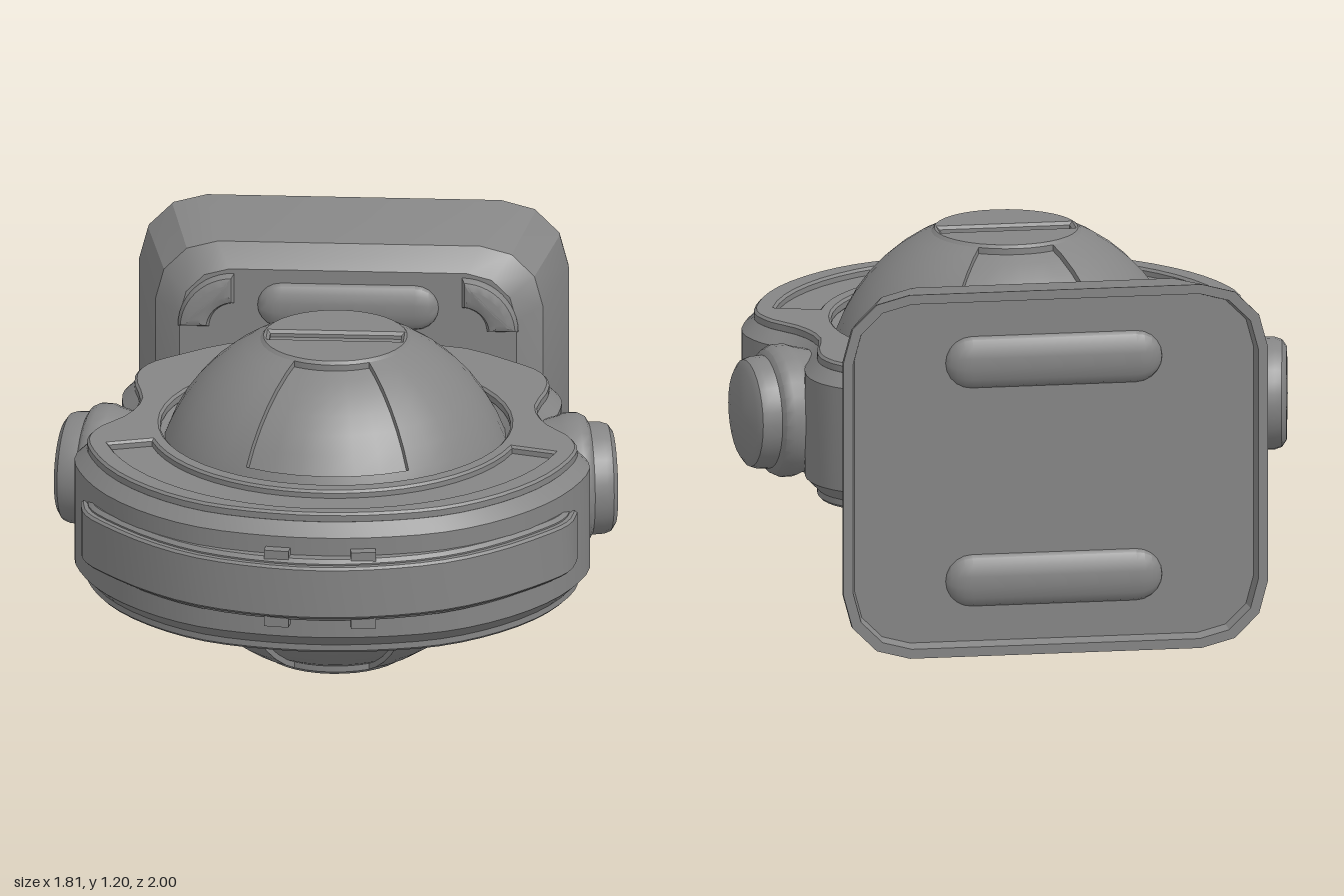
import * as THREE from 'three';
import { toCreasedNormals } from 'three/addons/utils/BufferGeometryUtils.js';

const MID = 0.6;      // height of the symmetry plane
const BALL_Z = 0.07;  // depth of the ball's centre
const material = new THREE.MeshStandardMaterial({ color: 0x858585 });
const V2 = (x, y) => new THREE.Vector2(x, y);

function add(parent, name, geometry, crease = 0.45) {
  const mesh = new THREE.Mesh(toCreasedNormals(geometry, crease), material);
  mesh.name = name;
  parent.add(mesh);
  return mesh;
}

// Skin over equally long rings of [x, y, z] points
function loft(rings) {
  const n = rings[0].length, index = [];
  for (let i = 0; i < rings.length - 1; i++) {
    for (let j = 0; j < n; j++) {
      const a = i * n + j, b = i * n + (j + 1) % n;
      index.push(a, a + n, b, b, a + n, b + n);
    }
  }
  const g = new THREE.BufferGeometry();
  g.setAttribute('position', new THREE.Float32BufferAttribute(rings.flat(2), 3));
  g.setIndex(index);
  return g;
}

// Plan shape (x, z) extruded between two heights, with an inward chamfer
// (outline clockwise, holes counter-clockwise)
function slab(points, holes, y0, y1, bevel) {
  const shape = new THREE.Shape(points);
  shape.holes = holes.map((h) => new THREE.Path(h));
  const g = new THREE.ExtrudeGeometry(shape, {
    depth: y1 - y0 - 2 * bevel, bevelEnabled: true, bevelThickness: bevel,
    bevelSize: bevel, bevelOffset: -bevel, bevelSegments: 1,
  });
  return g.rotateX(Math.PI / 2).translate(0, y1 - bevel, 0);
}

// Points on an arc; angle 0 faces the front
function arc(cz, r, from, to, n) {
  return Array.from({ length: n + 1 }, (_, i) => {
    const t = from + (to - from) * i / n;
    return V2(r * Math.sin(t), cz + r * Math.cos(t));
  });
}

const mirrorX = (half) => [...half, ...half.filter((p) => p[0] > 0).reverse().map(([x, z]) => [-x, z])];

// Plan outline of the housing, moved inward by inset
function housingOutline(inset) {
  const half = [[0, 0.93], [0.2, 0.91], [0.4, 0.85], [0.57, 0.735], [0.71, 0.575], [0.795, 0.4], [0.825, 0.25],
    [0.79, 0.13], [0.71, 0.02], [0.675, -0.1], [0.7, -0.25], [0.7, -0.35], [0.66, -0.45], [0.55, -0.55],
    [0.36, -0.67], [0, -0.67]];
  const curve = new THREE.CatmullRomCurve3(mirrorX(half).map(([x, z]) => new THREE.Vector3(x, z, 0)), true);
  const pts = [];
  for (let i = 0; i < 76; i++) {
    const p = curve.getPoint(i / 76), t = curve.getTangent(i / 76);
    pts.push(V2(p.x + t.y * inset, p.y - t.x * inset));
  }
  return pts;
}

function buildHousing(root) {
  const housing = new THREE.Group();
  housing.name = 'housing';
  // round opening, widened into a slit at the back
  const opening = (r) => [...arc(BALL_Z, r, Math.PI - 0.32, -Math.PI + 0.32, 44),
    ...arc(BALL_Z, 0.608, -Math.PI + 0.32, -Math.PI - 0.32, 6)];
  add(housing, 'housingBody', slab(housingOutline(0), [opening(0.525)], 0.385, 0.815, 0.045));
  // cover plates with a crescent recess around the front
  const crescent = [...arc(0.09, 0.6, -1.29, 1.29, 24), ...arc(0.1, 0.74, 1.3, -1.3, 24)];
  for (const [name, y] of [['topCover', 0.803], ['bottomCover', 0.362]]) {
    add(housing, name, slab(housingOutline(0.04), [opening(0.56), crescent], y, y + 0.037, 0.008));
  }
  root.add(housing);
}

function buildBall(root) {
  const ball = new THREE.Group();
  ball.name = 'ball';
  ball.position.set(0, MID, BALL_Z);
  const R = 0.578, EDGE = 0.45, columns = [], levels = [], step = Math.PI / 6;
  // front and back panels of 60 degrees, sunken between the cap and the housing
  for (const [start, span, drop] of [[-1, 2, 0.018], [1, 4, 0], [5, 2, 0.018], [7, 4, 0]]) {
    for (let i = 0; i <= span * 3; i++) columns.push([(start + i / 3) * step, drop]);
  }
  for (const [from, to, n, sunken] of [[1.17, EDGE, 6, 1], [EDGE, -EDGE, 8, 0], [-EDGE, -1.17, 6, 1]]) {
    for (let i = 0; i <= n; i++) levels.push([from + (to - from) * i / n, sunken]);
  }
  const rings = levels.map(([lat, sunken]) => columns.map(([a, drop]) => {
    const r = R - drop * sunken;
    return [r * Math.cos(lat) * Math.sin(a), r * Math.sin(lat), r * Math.cos(lat) * Math.cos(a)];
  }));
  add(ball, 'ballShell', loft(rings), 0.3);
  // flat end caps with a straight slot
  const slot = [V2(-0.21, -0.035), V2(0.21, -0.035), V2(0.21, 0.035), V2(-0.21, 0.035)];
  for (const s of [1, -1]) {
    const name = s > 0 ? 'top' : 'bottom';
    const y = s * 0.513;
    add(ball, name + 'Cap', slab(arc(0, 0.24, 0, Math.PI * 35 / 18, 35), [slot], y - 0.022, y + 0.022, 0.01));
    add(ball, name + 'SlotFloor', new THREE.CylinderGeometry(0.225, 0.225, 0.02, 32).translate(0, s * 0.503, 0));
  }
  root.add(ball);
}

function buildBumper(root) {
  const bumper = new THREE.Group();
  bumper.name = 'bumper';
  // run along the outside from left to right, then back along the inside
  const smooth = (half) => new THREE.SplineCurve(
    mirrorX(half).sort((a, b) => a[0] - b[0]).map(([x, z]) => V2(x, z))).getPoints(30);
  const band = (k) => [
    ...smooth([[0, 1], [0.2, 0.975], [0.4, 0.905], [0.57, 0.785], [0.72, 0.625], [0.78, 0.53], [0.795, 0.43]]
      .map(([x, z]) => [x * k, z * k])),
    ...smooth([[0, 0.84], [0.2, 0.82], [0.4, 0.76], [0.57, 0.65], [0.7, 0.5], [0.74, 0.42]]).reverse()];
  add(bumper, 'bumperStrip', slab(band(1), [], 0.517, 0.693, 0.008), 0.3);
  add(bumper, 'bumperBacking', slab(band(0.975), [], 0.5, 0.71, 0.012), 0.3);
  // clips holding the strip
  for (const s of [1, -1]) {
    const clip = add(bumper, 'clip', new THREE.BoxGeometry(0.08, 0.26, 0.05));
    clip.position.set(s * 0.137, MID + 0.003, 0.93);
    clip.rotation.y = s * 0.13;
  }
  root.add(bumper);
}

// Stepped round knobs on both sides, turned slightly backwards
function buildKnobs(root) {
  const profile = [[0.19, -0.06], [0.205, 0], [0.213, 0.02], [0.213, 0.06], [0.2, 0.085], [0.182, 0.095],
    [0.18, 0.135], [0.172, 0.157], [0.15, 0.172], [0, 0.175]].map(([r, h]) => V2(r, h));
  for (const s of [1, -1]) {
    const knob = add(root, s > 0 ? 'leftKnob' : 'rightKnob',
      new THREE.LatheGeometry(profile, 28).rotateZ(-Math.PI / 2), 0.6);
    knob.position.set(s * 0.71, MID, -0.085);
    knob.rotation.y = s > 0 ? 0.16 : Math.PI - 0.16;
  }
}

function buildMount(root) {
  const mount = new THREE.Group();
  mount.name = 'wallMount';
  mount.position.y = MID;
  // rounded rectangle with three-sided corners
  const ring = (w, h, z, r) => {
    const pts = [];
    for (let q = 0; q < 4; q++) {
      const sx = q === 0 || q === 3 ? 1 : -1, sy = q < 2 ? 1 : -1;
      for (let i = 0; i <= 3; i++) {
        const a = (q + i / 3) * Math.PI / 2;
        pts.push([sx * (w - r) + r * Math.cos(a), sy * (h - r) + r * Math.sin(a), z]);
      }
    }
    return pts;
  };
  add(mount, 'mountPlate', loft([
    ring(0, 0, -0.65, 0), ring(0.54, 0.48, -0.65, 0.16), ring(0.62, 0.55, -0.715, 0.2),
    ring(0.688, 0.597, -0.985, 0.215), ring(0.686, 0.6, -1, 0.215), ring(0.655, 0.569, -1, 0.19),
    ring(0.645, 0.559, -0.957, 0.18), ring(0, 0, -0.957, 0),
  ]), 0.5);
  for (const s of [1, -1]) {
    // long pill ribs on the front and back faces
    for (const [name, half, r, z, flat] of [['frontRib', 0.29, 0.075, -0.65, 0.45], ['backRib', 0.35, 0.085, -0.957, 0.42]]) {
      const rib = add(mount, name,
        new THREE.CapsuleGeometry(r, 2 * (half - r), 5, 14).rotateZ(Math.PI / 2).scale(1, 1, flat), 0.6);
      rib.position.set(0, s * 0.36, z);
    }
  }
  // curved bosses in the four front corners
  for (let q = 0; q < 4; q++) {
    const a = q * Math.PI / 2;
    const shape = new THREE.Shape();
    shape.absarc(0, 0, 0.18, a, a + Math.PI / 2, false);
    shape.absarc(0, 0, 0.08, a + Math.PI / 2, a, true);
    const boss = add(mount, 'cornerBoss', new THREE.ExtrudeGeometry(shape, {
      depth: 0.04, curveSegments: 6, bevelThickness: 0.028, bevelSize: 0.03, bevelOffset: -0.03, bevelSegments: 2,
    }));
    boss.position.set(q === 0 || q === 3 ? 0.365 : -0.365, q < 2 ? 0.285 : -0.285, -0.685);
  }
  root.add(mount);
}

export function createModel() {
  const root = new THREE.Group();
  root.name = 'roundDevice';
  buildHousing(root);
  buildBall(root);
  buildBumper(root);
  buildKnobs(root);
  buildMount(root);
  return root;
}
